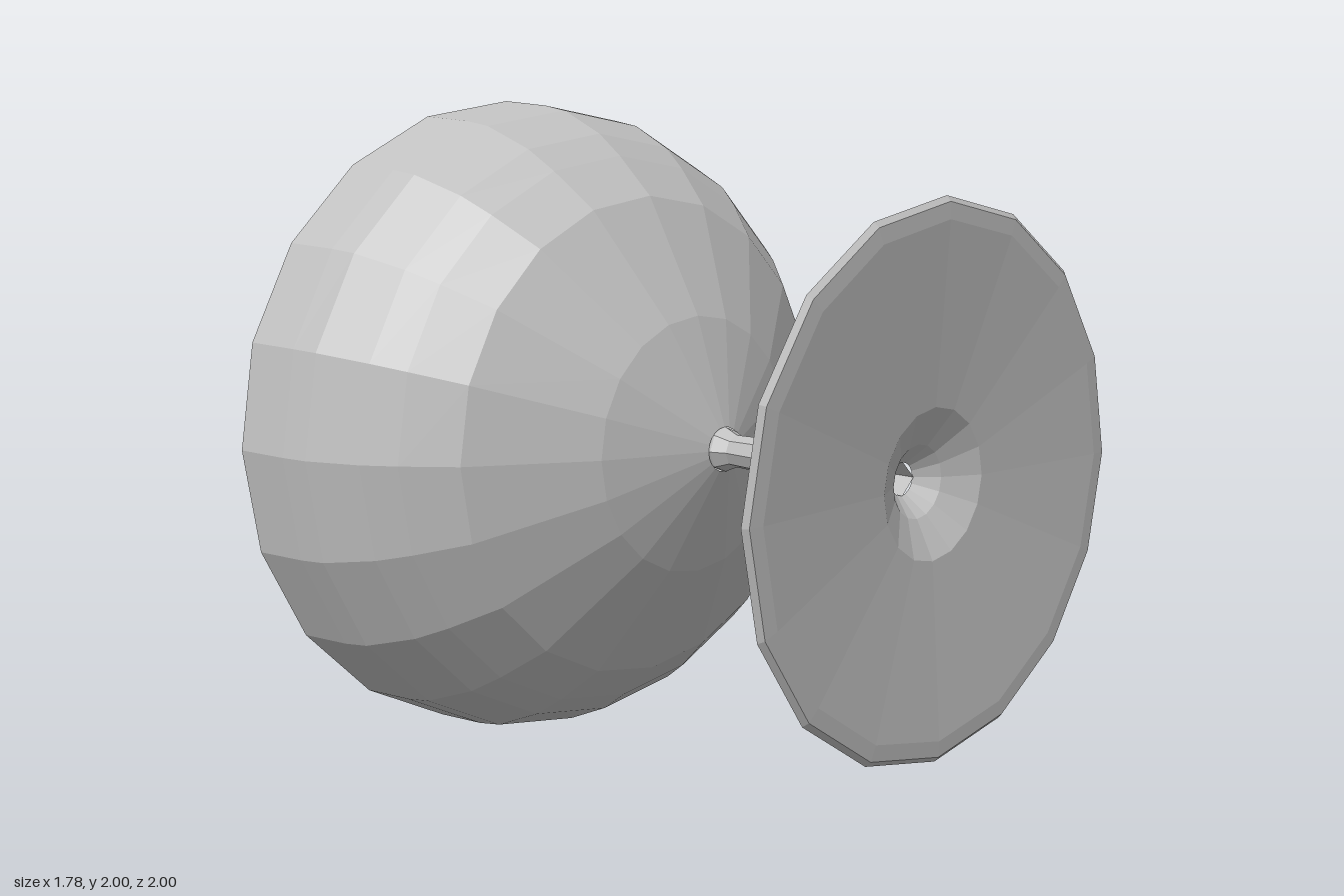
import * as THREE from 'three';

export function createModel() {
  const model = new THREE.Group();
  model.name = 'goblet';
  const greyGlass = new THREE.MeshStandardMaterial({ color: 0xc0c0c0 });
  greyGlass.name = 'greyGlass';

  // Faceted solid of revolution lying along x; profile points are [x, radius]
  function turned(name, sides, profile) {
    const points = profile.map(([x, r]) => new THREE.Vector2(r, x));
    const geometry = new THREE.LatheGeometry(points, sides).toNonIndexed();
    geometry.rotateZ(-Math.PI / 2);
    geometry.computeVertexNormals();
    const mesh = new THREE.Mesh(geometry, greyGlass);
    mesh.name = name;
    mesh.position.y = 1;
    model.add(mesh);
  }

  // Bowl: inside from the drain to the rim, then back along the outside
  turned('bowl', 20, [
    [0.07, 0.04], [-0.04, 0.35], [-0.23, 0.69], [-0.36, 0.8], [-0.45, 0.87],
    [-0.6, 0.938], [-0.69, 0.955], [-0.88, 0.968], [-0.893, 0.975],
    [-0.893, 0.99], [-0.88, 1], [-0.69, 0.985], [-0.6, 0.97], [-0.44, 0.9],
    [-0.35, 0.835], [-0.22, 0.72], [-0.02, 0.38], [0.09, 0.065],
  ]);

  // Stem with a narrow neck, and the square bore running through it
  turned('stem', 8, [[0.08, 0.065], [0.095, 0.065], [0.14, 0.047], [0.72, 0.064], [0.735, 0.068]]);
  turned('stemBore', 4, [[0.75, 0.045], [0.07, 0.045]]);

  // Foot: flared top, thin edge, and underside with a central funnel
  turned('foot', 16, [
    [0.715, 0.06], [0.76, 0.11], [0.815, 0.23], [0.865, 0.725], [0.875, 0.75],
    [0.888, 0.735], [0.89, 0.69], [0.855, 0.205], [0.8, 0.1], [0.745, 0.045],
  ]);

  return model;
}
